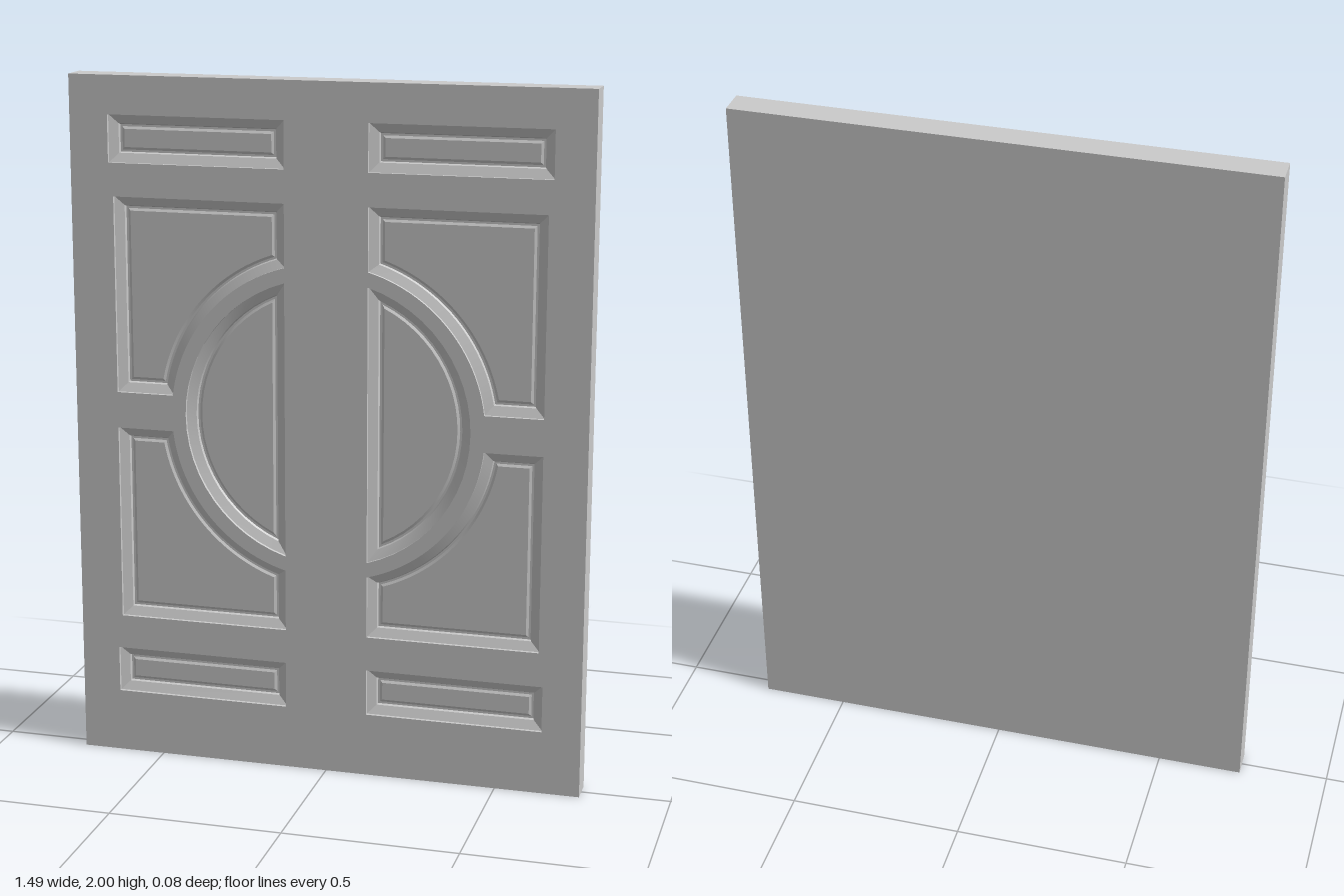
import * as THREE from 'three';
import { toCreasedNormals } from 'three/addons/utils/BufferGeometryUtils.js';

const W = 1.49, H = 2, FRONT = 0.04, MID = 1.04, ARC = 24;
const material = new THREE.MeshStandardMaterial({ color: 0xcccccc });
const V = (x, y) => new THREE.Vector2(x, y);

function arc(r, a0, a1) {
  return Array.from({ length: ARC + 1 }, (_, i) => {
    const a = a0 + (a1 - a0) * i / ARC;
    return V(r * Math.cos(a), MID + r * Math.sin(a));
  });
}

// Counter-clockwise outlines, each a function of the inset d
const rect = (x0, x1, y0, y1) => d =>
  [V(x0 + d, y0 + d), V(x1 - d, y0 + d), V(x1 - d, y1 - d), V(x0 + d, y1 - d)];

const halfMoon = d => {
  const r = 0.415 - d, a = Math.acos((0.12 + d) / r);
  return arc(r, -a, a);
};

// Rectangle with one corner cut out by a circle around the door's centre
const cornerPanel = (low, high) => d => {
  const r = 0.456 + d, x0 = 0.12 + d, x1 = 0.62 - d, y0 = low + d, y1 = high - d;
  return [...arc(r, Math.acos(x0 / r), Math.asin(y0 / r)),
    V(x1, MID + y0), V(x1, MID + y1), V(x0, MID + y1)];
};

const flipX = f => d => f(d).map(p => V(-p.x, p.y)).reverse();
const flipY = f => d => f(d).map(p => V(p.x, 2 * MID - p.y)).reverse();

const panels = {
  topPanel: rect(0.12, 0.633, 1.755, 1.89),
  upperCornerPanel: cornerPanel(0.055, 0.62),
  halfMoonPanel: halfMoon,
  lowerCornerPanel: flipY(cornerPanel(0.05, 0.62)),
  bottomPanel: rect(0.12, 0.633, 0.185, 0.32),
};

// Moulding section: [inset, z] from the rim of the recess to the flat field
const SECTION = [[0, 0.03], [0.026, 0.019], [0.029, 0.012], [0.035, 0.012], [0.042, 0.016]];

function mouldingGeometry(outline) {
  const pos = [], index = [];
  const n = outline(0).length;
  for (const [d, z] of SECTION) for (const p of outline(d)) pos.push(p.x, p.y, z);
  for (let k = 0; k < SECTION.length - 1; k++) {
    for (let i = 0; i < n; i++) {
      const j = (i + 1) % n, a = k * n + i, b = k * n + j;
      index.push(a, b, b + n, a, b + n, a + n);
    }
  }
  const g = new THREE.BufferGeometry();
  g.setAttribute('position', new THREE.Float32BufferAttribute(pos, 3));
  g.setIndex(index);
  return toCreasedNormals(g, 0.25);
}

export function createModel() {
  const door = new THREE.Group();
  door.name = 'doubleDoor';
  const add = (parent, name, geometry) => {
    const mesh = new THREE.Mesh(geometry, material);
    mesh.name = name;
    parent.add(mesh);
    return mesh;
  };

  // Solid back half of the slab
  add(door, 'backSlab', new THREE.BoxGeometry(W, H, FRONT)).position.set(0, H / 2, -FRONT / 2);

  // Front half, pierced by the panel openings
  const face = new THREE.Shape([V(-W / 2, 0), V(W / 2, 0), V(W / 2, H), V(-W / 2, H)]);

  for (const side of ['left', 'right']) {
    const leaf = new THREE.Group();
    leaf.name = side + 'Panels';
    for (const [name, f] of Object.entries(panels)) {
      const outline = side === 'left' ? f : flipX(f);
      face.holes.push(new THREE.Path(outline(0)));
      const panel = new THREE.Group();
      panel.name = name;
      add(panel, 'moulding', mouldingGeometry(outline));
      // Flat field inside the moulding
      const [d, z] = SECTION[SECTION.length - 1];
      add(panel, 'field', new THREE.ShapeGeometry(new THREE.Shape(outline(d)))).position.z = z;
      leaf.add(panel);
    }
    door.add(leaf);
  }

  add(door, 'frontFrame', new THREE.ExtrudeGeometry(face, { depth: FRONT, bevelEnabled: false }));
  return door;
}
